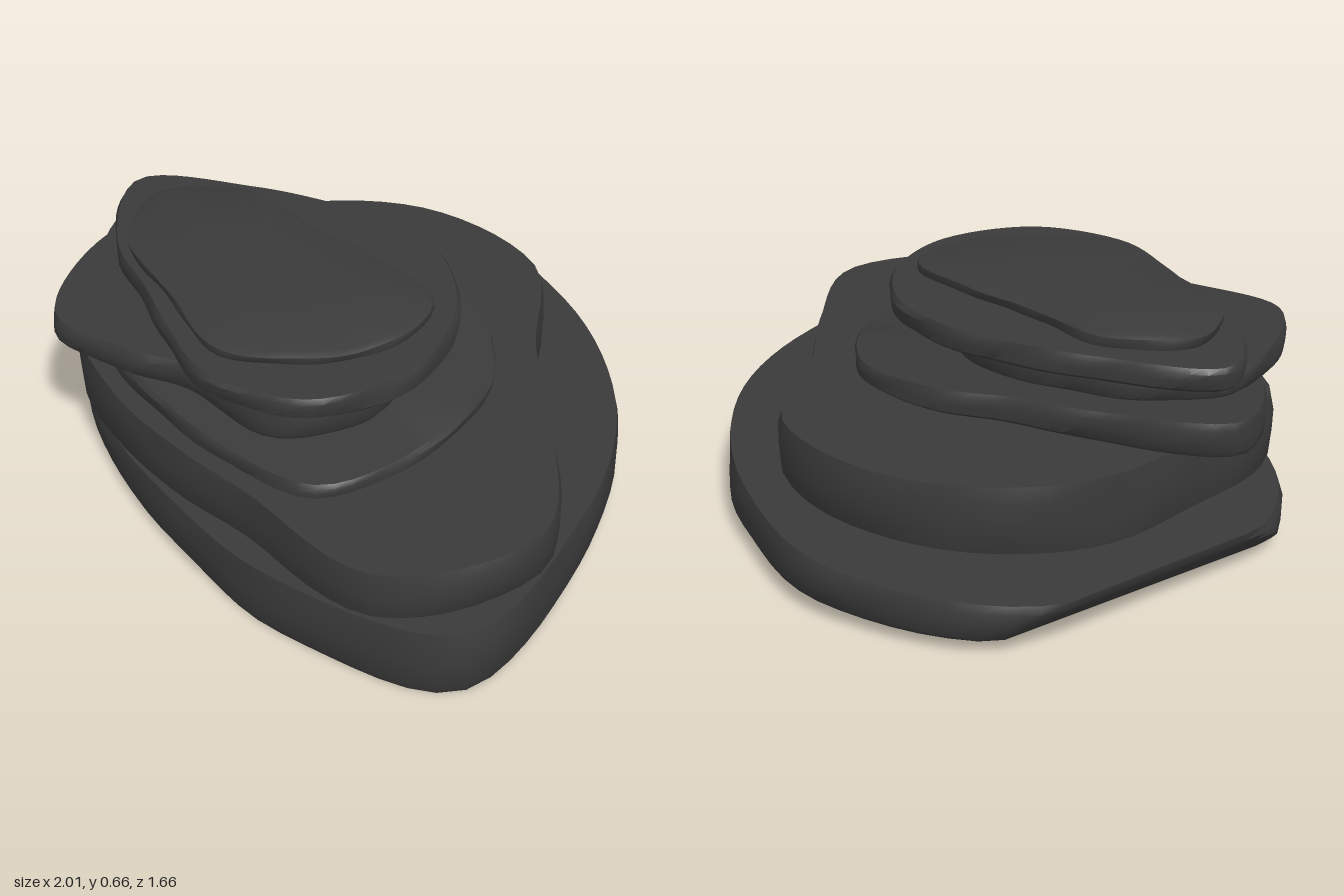
import * as THREE from 'three';
import { toCreasedNormals } from 'three/addons/utils/BufferGeometryUtils.js';

const SEGMENTS = 72;

// Each slab: centre [x, z], radii at equal angles clockwise from above (starting at +x),
// and tilted bottom and top planes as [height, slope along x, slope along z].
const slabs = [
  {
    name: 'baseSlab', centre: [0, 0], bottom: [0.023, -0.012, -0.018], top: [0.19, 0.035], footMinX: -0.9,
    radii: [0.865, 1.14, 0.94, 0.825, 0.87, 1.02, 1.1, 1.08, 0.95, 0.77, 0.71, 0.745],
  },
  {
    name: 'secondSlab', centre: [0, 0.25], bottom: [0.17, 0.04], top: [0.367],
    radii: [0.955, 0.9, 0.59, 0.545, 0.62, 0.8, 0.81, 0.94, 0.97, 0.89, 0.67, 0.72],
  },
  {
    name: 'thirdSlab', centre: [-0.2, 0.25], bottom: [0.362, -0.01], top: [0.43, -0.05],
    radii: [0.7, 0.74, 0.56, 0.49, 0.52, 0.62, 0.77, 0.52, 0.43, 0.5, 0.62, 0.68],
  },
  {
    name: 'fourthSlab', centre: [-0.25, 0.35], bottom: [0.425, -0.04, 0.03], top: [0.55],
    radii: [0.59, 0.54, 0.37, 0.41, 0.55, 0.55, 0.56, 0.46, 0.38, 0.395, 0.44, 0.54],
  },
  {
    name: 'fifthSlab', centre: [-0.2, 0.25], bottom: [0.546], top: [0.619],
    radii: [0.63, 0.63, 0.53, 0.41, 0.4, 0.53, 0.71, 0.5, 0.43, 0.45, 0.51, 0.57],
  },
  {
    name: 'capSlab', centre: [-0.2, 0.28], bottom: [0.61], top: [0.655, -0.008], bevel: 0.035,
    radii: [0.51, 0.45, 0.41, 0.32, 0.33, 0.46, 0.55, 0.44, 0.28, 0.26, 0.32, 0.52],
  },
];

const planeHeight = ([h, sx = 0, sz = 0], x, z) => h + sx * x + sz * z;

function slabGeometry({ centre: [cx, cz], radii, bottom, top, bevel = 0.018, footMinX = -1 }, seed) {
  const corners = radii.map((r, i) => {
    const angle = (i / radii.length) * Math.PI * 2;
    return new THREE.Vector3(r * Math.cos(angle), 0, r * Math.sin(angle));
  });
  const edge = new THREE.CatmullRomCurve3(corners, true, 'centripetal').getSpacedPoints(SEGMENTS).slice(0, SEGMENTS);

  // Ring profile: [inset, height between the planes]
  const rings = [[bevel, 0], [0.2 * bevel, 0.15], [0, 0.5], [0, 0.8], [0.8 * bevel, 1], [0.3, 1]];
  const positions = [], indices = [];
  const addPoint = (x, z, t) =>
    positions.push(x, THREE.MathUtils.lerp(planeHeight(bottom, x, z), planeHeight(top, x, z), t), z);

  rings.forEach(([inset, t], k) => edge.forEach((p, i) => {
    const radius = p.length();
    const angle = (i / SEGMENTS) * Math.PI * 2;
    // Gentle chips and hollows around the weathered side
    const chip = k < 4 ? 0.006 * (1 + Math.sin(angle * 7 + seed * 2 + k * 0.8) * Math.cos(angle * 4 + seed)) : 0;
    const f = 1 - Math.min(inset + chip, radius * 0.6) / radius;
    // The straight-cut left end leans in towards the foot
    const minX = THREE.MathUtils.lerp(footMinX, -1, Math.min(1, t * 1.2));
    addPoint(Math.max(cx + p.x * f, minX), cz + p.z * f, t);
  }));
  addPoint(cx, cz, 0);
  addPoint(cx, cz, 1);

  // Side strips plus a fan closing the underside and the top
  const low = rings.length * SEGMENTS, high = low + 1, last = low - SEGMENTS;
  for (let i = 0; i < SEGMENTS; i++) {
    const j = (i + 1) % SEGMENTS;
    for (let a = i, b = j; a < last; a += SEGMENTS, b += SEGMENTS) {
      indices.push(a, a + SEGMENTS, b, b, a + SEGMENTS, b + SEGMENTS);
    }
    indices.push(low, i, j, high, last + j, last + i);
  }
  const geometry = new THREE.BufferGeometry();
  geometry.setAttribute('position', new THREE.Float32BufferAttribute(positions, 3));
  geometry.setIndex(indices);
  return toCreasedNormals(geometry, 0.7);
}

export function createModel() {
  const group = new THREE.Group();
  group.name = 'stackedRocks';
  const stone = new THREE.MeshStandardMaterial({ color: 0x3a3a3a });
  slabs.forEach((slab, i) => {
    const mesh = new THREE.Mesh(slabGeometry(slab, i + 1), stone);
    mesh.name = slab.name;
    group.add(mesh);
  });
  return group;
}
